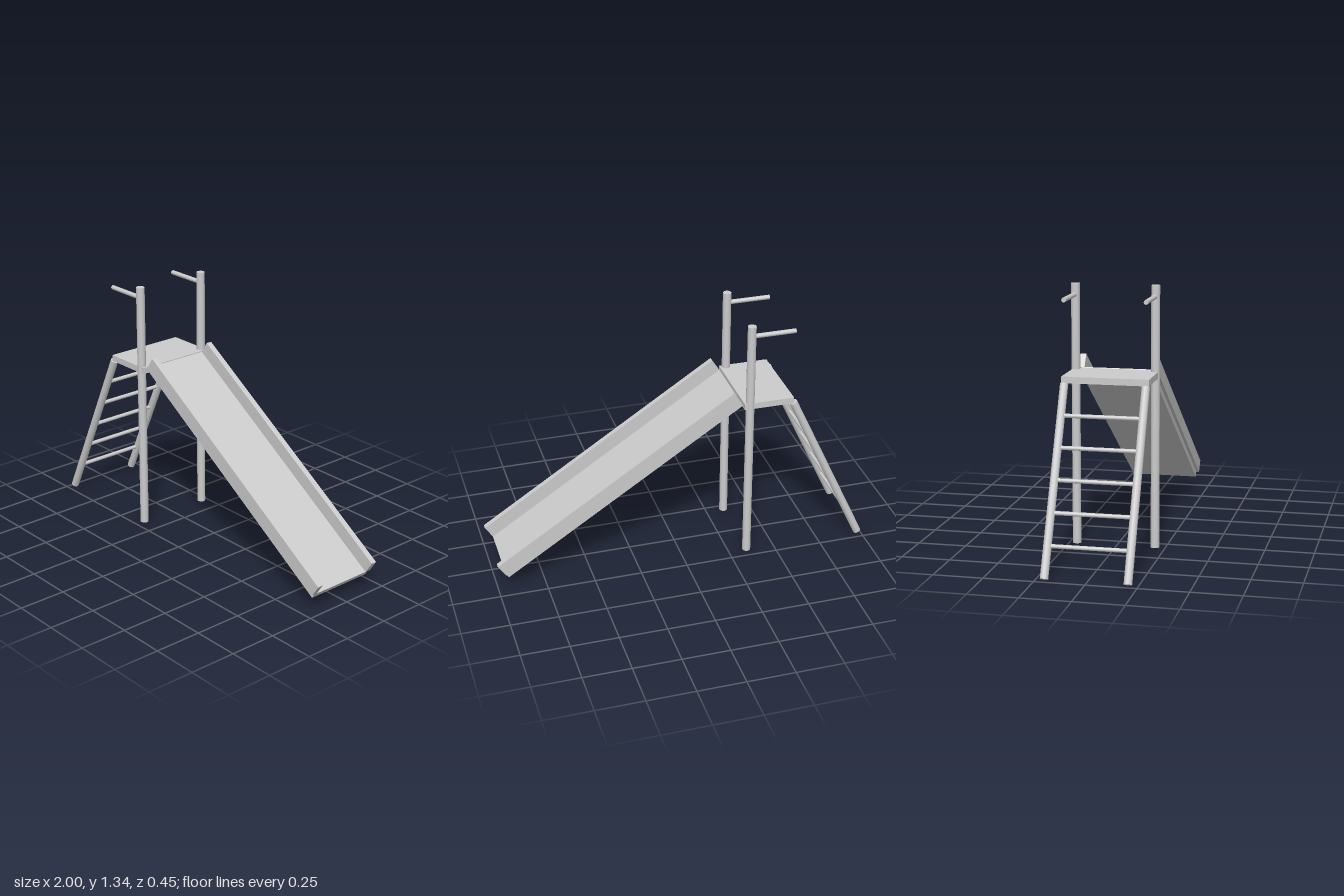
import * as THREE from 'three';

export function createModel() {
  const model = new THREE.Group();
  const mat = new THREE.MeshStandardMaterial({ color: 0xcccccc });

  const add = (parent, name, geometry, x = 0, y = 0, z = 0) => {
    const mesh = new THREE.Mesh(geometry, mat);
    mesh.name = name;
    mesh.position.set(x, y, z);
    parent.add(mesh);
    return mesh;
  };

  // Round bar running between two points
  const bar = (parent, name, from, to, radius) => {
    const a = new THREE.Vector3(...from), b = new THREE.Vector3(...to);
    const dir = b.clone().sub(a);
    const mesh = add(parent, name, new THREE.CylinderGeometry(radius, radius, dir.length(), 12));
    mesh.position.copy(a).add(b).multiplyScalar(0.5);
    mesh.quaternion.setFromUnitVectors(new THREE.Vector3(0, 1, 0), dir.normalize());
  };

  const postX = -0.345, sideZ = 0.203;
  const foot = [-0.982, 0.014], head = [-0.579, 0.882];

  // Platform
  add(model, 'platform', new THREE.BoxGeometry(0.265, 0.033, 0.437), -0.4445, 0.9, 0);

  // Posts, handles and ladder rails on both sides
  const ladder = new THREE.Group();
  ladder.name = 'ladder';
  model.add(ladder);
  for (const [side, s] of [['left', 1], ['right', -1]]) {
    const z = s * sideZ;
    bar(model, side + 'Post', [postX, 0.015, z], [postX, 1.347, z], 0.0225);
    bar(model, side + 'Handle', [-0.577, 1.291, z], [postX, 1.291, z], 0.012);
    bar(ladder, side + 'Rail', [...foot, z], [...head, z], 0.021);
  }

  // Rungs, evenly spaced along the rails
  for (let i = 1; i <= 5; i++) {
    const x = THREE.MathUtils.lerp(foot[0], head[0], i / 6);
    const y = THREE.MathUtils.lerp(foot[1], head[1], i / 6);
    bar(ladder, 'rung', [x, y, -sideZ], [x, y, sideZ], 0.0105);
  }

  // Slide, built level from its upper end and then tilted
  const slide = new THREE.Group();
  slide.name = 'slide';
  const length = 1.502, bed = 0.03, wall = 0.073;
  add(slide, 'slideBed', new THREE.BoxGeometry(length, bed, 0.37), length / 2, bed / 2, 0);
  for (const [side, s] of [['left', 1], ['right', -1]]) {
    add(slide, side + 'SlideWall', new THREE.BoxGeometry(length, wall, 0.031),
      length / 2, bed + wall / 2, s * 0.186);
  }
  slide.position.set(-0.315, 0.893, 0);
  slide.rotation.z = THREE.MathUtils.degToRad(-33.2);
  model.add(slide);

  return model;
}
